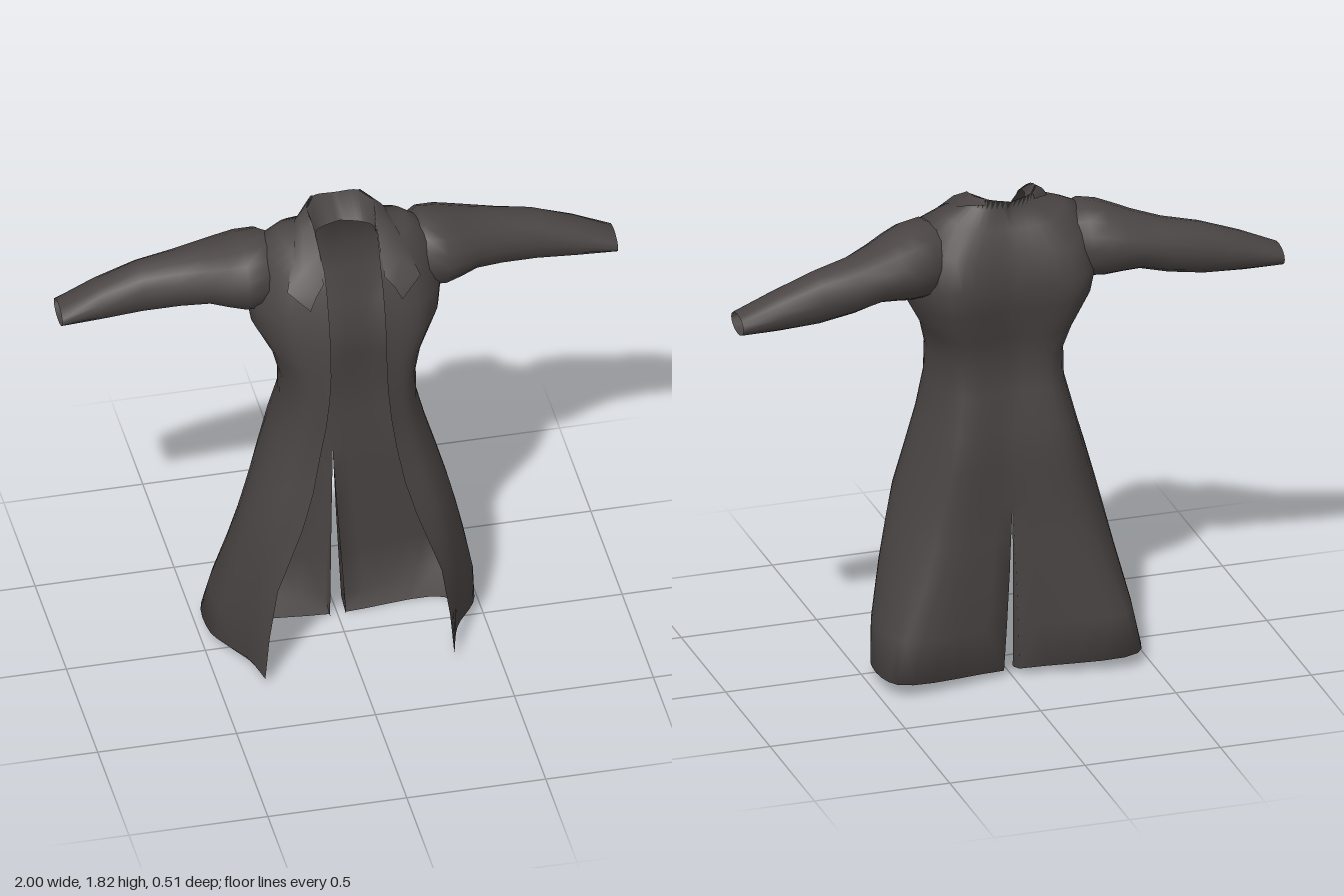
import * as THREE from 'three';
import { mergeGeometries, mergeVertices } from 'three/addons/utils/BufferGeometryUtils.js';

const cloth = new THREE.MeshStandardMaterial({ color: 0x4a4444, side: THREE.DoubleSide });
cloth.name = 'charcoal cloth';

const V = (x, y, z) => new THREE.Vector3(x, y, z);

// Skin a list of equally long point rows into a surface
function skin(rows) {
  const n = rows[0].length, index = [];
  for (let r = 0; r < rows.length - 1; r++) {
    for (let i = 0; i < n - 1; i++) {
      const a = r * n + i, b = a + n;
      index.push(a, b, a + 1, b, b + 1, a + 1);
    }
  }
  const g = new THREE.BufferGeometry().setFromPoints(rows.flat());
  g.setIndex(index);
  return g;
}

// Mirror a half across x = 0 and weld the two along the centre
function mirrored(half) {
  const other = half.clone().scale(-1, 1, 1);
  const idx = Array.from(other.index.array);
  for (let i = 0; i < idx.length; i += 3) [idx[i], idx[i + 1]] = [idx[i + 1], idx[i]];
  other.setIndex(idx);
  const g = mergeVertices(mergeGeometries([half, other]), 1e-4);
  g.computeVertexNormals();
  return g;
}

function part(name, geometry) {
  const m = new THREE.Mesh(geometry, cloth);
  m.name = name;
  return m;
}

// Half sections of the coat: y, front edge x z, side x z, back side x z, back centre z,
// then height offsets of side, back side and back centre
const SKIRT = [
  [0.028, 0.34, 0.25, 0.42, 0.0, 0.385, -0.12, -0.11, -0.015, -0.028, -0.028], // turned-in hem
  [0.03, 0.34, 0.25, 0.475, -0.03, 0.445, -0.24, -0.175, 0.02, 0.02, -0.01],
  [0.20, 0.325, 0.25, 0.465, -0.01, 0.405, -0.225, -0.185],
  [0.40, 0.295, 0.248, 0.425, 0.01, 0.33, -0.21, -0.188],
  [0.53, 0.25, 0.25, 0.395, 0.02, 0.29, -0.198, -0.185],
  [0.66, 0.205, 0.25, 0.362, 0.025, 0.26, -0.19, -0.185],
  [0.80, 0.165, 0.237, 0.322, 0.03, 0.23, -0.195, -0.19]
];
const BODICE = [
  [0.95, 0.137, 0.225, 0.277, 0.035, 0.20, -0.193, -0.187],
  [1.08, 0.117, 0.235, 0.244, 0.04, 0.175, -0.163, -0.16],
  [1.20, 0.105, 0.238, 0.242, 0.04, 0.175, -0.155, -0.155],
  [1.30, 0.10, 0.237, 0.268, 0.03, 0.20, -0.185, -0.18],
  [1.42, 0.10, 0.23, 0.335, 0.0, 0.24, -0.222, -0.215],
  [1.52, 0.10, 0.205, 0.35, -0.02, 0.25, -0.243, -0.234],
  [1.62, 0.10, 0.168, 0.31, -0.05, 0.22, -0.215, -0.212, 0.09, 0.01, 0]
];
const NECK = [
  [1.68, 0.10, 0.13, 0.225, -0.08, 0.15, -0.165, -0.17, 0.075, 0.04, 0.025],
  [1.73, 0.105, 0.08, 0.145, -0.06, 0.09, -0.11, -0.125, 0.045, 0.04, 0.035],
  [1.79, 0.11, 0.0, 0.12, -0.07, 0.08, -0.14, -0.16, 0.03, 0.03, 0.018],
  [1.76, 0.106, 0.04, 0.104, 0.0, 0.072, -0.045, -0.07, 0, -0.01, -0.01] // inside of the collar
];

function sectionCurve([y, fx, fz, sx, sz, px, pz, cz, ds = 0, dp = 0, dc = 0]) {
  const vent = 0.03 * Math.max(0, 1 - y / 0.66); // the back vent opens towards the hem
  const full = Math.min(1, y / 0.66);            // front panels flatten towards the hem
  const curve = new THREE.CatmullRomCurve3([
    V(fx, y, fz),
    V(fx + (0.3 + 0.34 * full) * (sx - fx), y + ds * 0.5, THREE.MathUtils.lerp(sz, fz, 0.5 + 0.26 * full)),
    V(sx, y + ds, sz), V(px, y + dp, pz), V(vent, y + dc, cz)
  ]);
  const pts = curve.getPoints(20);
  pts[20].x = vent;
  pts.push(V(vent, y + dc, Math.max(cz, cz + (-0.095 - cz) * vent / 0.03))); // vent facing
  return pts;
}

// Sleeve stations: x, top, bottom, front z, back z
const SLEEVE = [
  [0.22, 1.71, 1.50, 0.03, -0.16], [0.29, 1.738, 1.46, 0.085, -0.215],
  [0.36, 1.724, 1.46, 0.09, -0.234], [0.42, 1.702, 1.47, 0.065, -0.236],
  [0.48, 1.68, 1.478, 0.03, -0.235],
  [0.58, 1.652, 1.456, -0.018, -0.231], [0.71, 1.625, 1.437, -0.05, -0.225],
  [0.86, 1.568, 1.43, -0.056, -0.218], [1.0, 1.502, 1.43, -0.062, -0.202]
];

function sleeveHalf() {
  return skin(SLEEVE.map(([x, t, b, f, k]) => {
    const ring = [];
    for (let i = 0; i <= 16; i++) {
      const a = (i % 16) / 16 * Math.PI * 2;
      ring.push(V(x, (t + b) / 2 + Math.cos(a) * (t - b) / 2, (f + k) / 2 - Math.sin(a) * (f - k) / 2));
    }
    return ring;
  }));
}

// Collar turned down from the sides of the neck to the pointed lapel tips
function collarHalf() {
  const top = [V(0.08, 1.82, -0.14), V(0.12, 1.82, -0.07),
    V(0.112, 1.795, 0), V(0.107, 1.735, 0.085), V(0.11, 1.65, 0.158)];
  const outer = [V(0.09, 1.805, -0.155), V(0.165, 1.775, -0.07),
    V(0.185, 1.75, 0.03), V(0.24, 1.635, 0.155), V(0.165, 1.57, 0.198)];
  const fold = top.map((p, i) => p.clone().lerp(outer[i], 0.5).add(V(0.004, 0.006, 0.004)));
  return skin([top, fold, outer]);
}

export function createModel() {
  const coat = new THREE.Group();
  coat.name = 'longCoat';
  coat.add(part('coatBody', mirrored(skin([...SKIRT, ...BODICE, ...NECK].map(sectionCurve)))));
  coat.add(part('sleeves', mirrored(sleeveHalf())));
  coat.add(part('collar', mirrored(collarHalf())));
  return coat;
}
